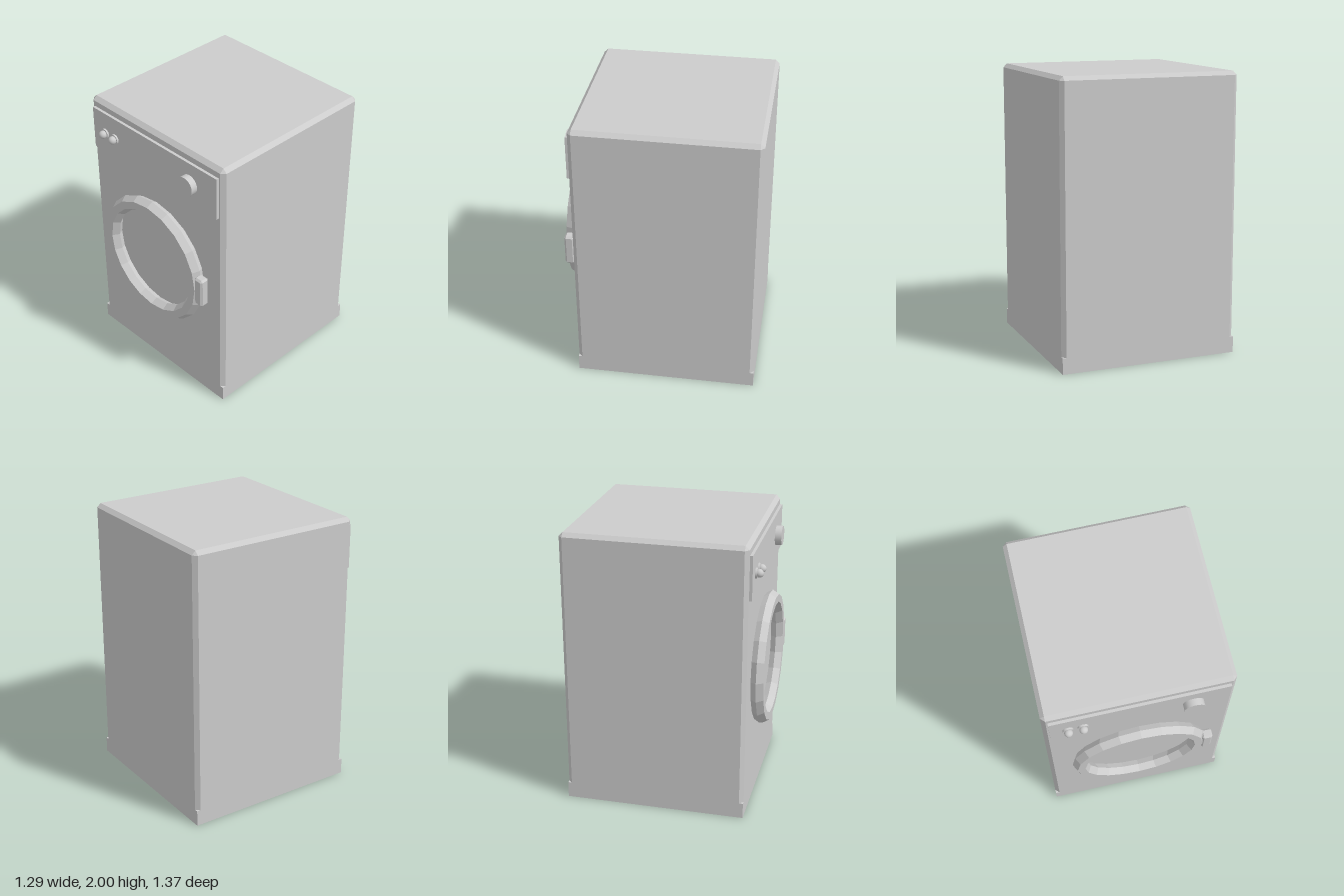
import * as THREE from 'three';
import { ConvexGeometry } from 'three/addons/geometries/ConvexGeometry.js';

// Box between two corners with all edges cut at 45 degrees
function chamferBox(min, max, c) {
  const points = [];
  for (const sx of [0, 1]) for (const sy of [0, 1]) for (const sz of [0, 1]) {
    const side = [sx, sy, sz];
    for (let keep = 0; keep < 3; keep++) {
      const p = side.map((s, i) => {
        const inset = i === keep ? 0 : c;
        return s ? max[i] - inset : min[i] + inset;
      });
      points.push(new THREE.Vector3(...p));
    }
  }
  return new ConvexGeometry(points);
}

export function createModel() {
  const model = new THREE.Group();
  model.name = 'washingMachine';

  const grey = new THREE.MeshStandardMaterial({ color: 0xcccccc });
  grey.name = 'grey';
  const greyFaceted = grey.clone();
  greyFaceted.name = 'grey';
  greyFaceted.flatShading = true;

  function add(name, geometry, x = 0, y = 0, z = 0, material = grey) {
    const mesh = new THREE.Mesh(geometry, material);
    mesh.name = name;
    mesh.position.set(x, y, z);
    model.add(mesh);
    return mesh;
  }

  const W = 0.643, BACK = -0.687, FRONT = 0.599, BASE = 0.115;

  // Cabinet: its lower chamfer is sunk into the square plinth
  add('cabinet', chamferBox([-W, BASE - 0.028, BACK], [W, 2, FRONT], 0.028));
  add('plinth', new THREE.BoxGeometry(2 * W, BASE, FRONT - BACK), 0, BASE / 2, (FRONT + BACK) / 2);

  // Control panel
  add('controlPanel', new THREE.BoxGeometry(1.205, 0.313, 0.03), 0, 1.775, 0.604);

  // Program dial
  add('dial', new THREE.CylinderGeometry(0.07, 0.07, 0.047, 32).rotateX(Math.PI / 2), 0.355, 1.773, 0.6425);

  // Two domed buttons with collars
  for (const x of [-0.481, -0.381]) {
    add('buttonCollar', new THREE.CylinderGeometry(0.036, 0.036, 0.02, 24).rotateX(Math.PI / 2), x, 1.774, 0.622);
    add('button', new THREE.SphereGeometry(0.029, 20, 12), x, 1.774, 0.643);
  }

  // Door ring with a hexagonal section
  add('doorRing', new THREE.TorusGeometry(0.4285, 0.0555, 6, 20), 0, 0.971, 0.639, greyFaceted);

  // Door handle
  add('doorHandle', chamferBox([0.45, 0.86, 0.618], [0.525, 1.085, 0.687], 0.013));

  return model;
}
